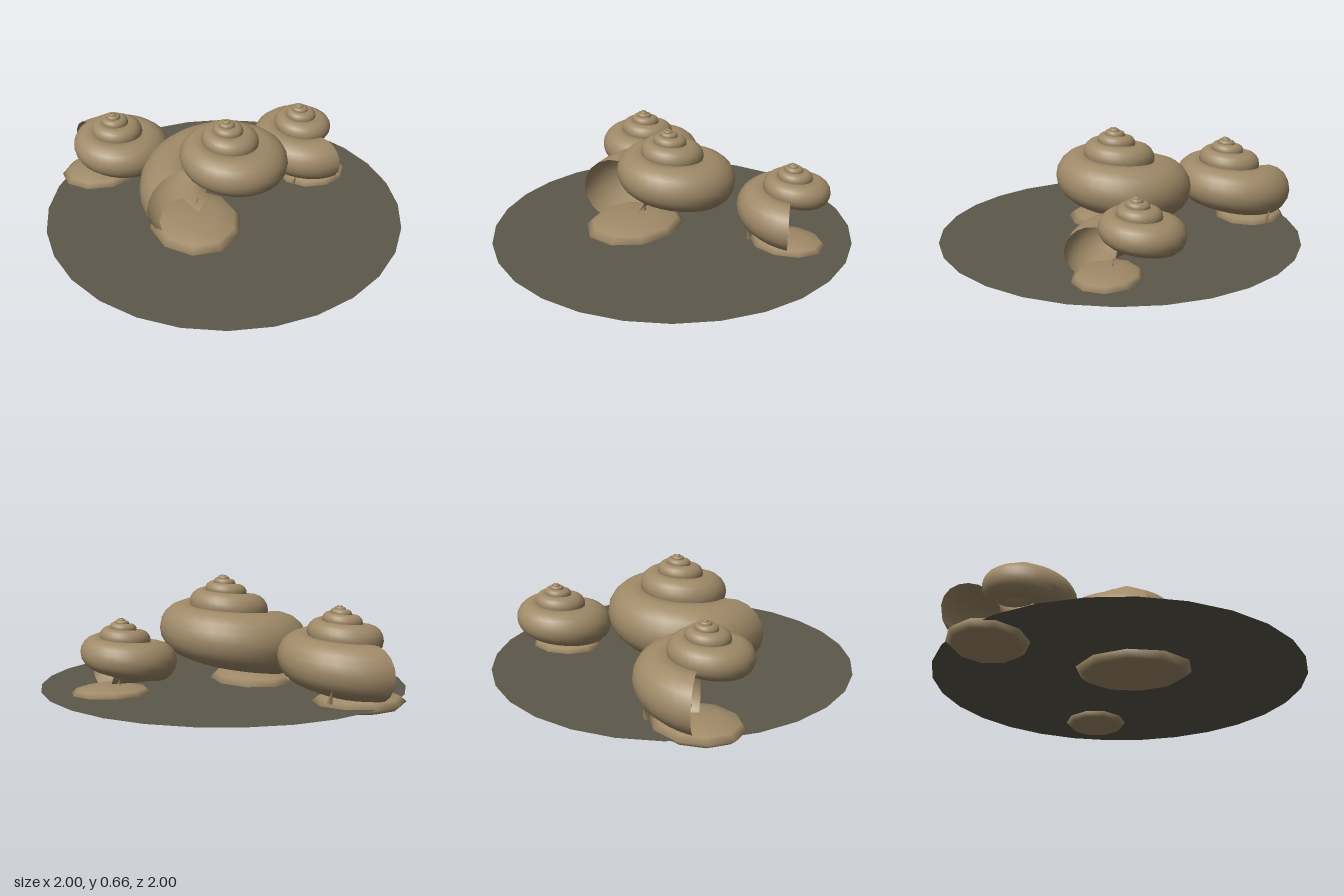
import * as THREE from 'three';
import { ParametricGeometry } from 'three/addons/geometries/ParametricGeometry.js';

const GROUND_Y = 0.07;
const TURNS = 5.5;
const GROWTH = 1.9; // size ratio from one whorl to the next
const LIP_ANGLE = THREE.MathUtils.degToRad(200);

// Logarithmic spiral tube, open at the lip, winding up to the apex
function shellGeometry() {
  return new ParametricGeometry((u, v, target) => {
    const back = (1 - u) * TURNS;
    const s = Math.pow(GROWTH, -back);
    const angle = LIP_ANGLE - back * Math.PI * 2;
    const around = v * Math.PI * 2;
    const radius = s * (0.315 + 0.185 * Math.cos(around));
    target.set(
      radius * Math.cos(angle),
      0.6 - 0.41 * s + 0.185 * s * Math.sin(around),
      -radius * Math.sin(angle)
    );
  }, 176, 18);
}

export function createModel() {
  const model = new THREE.Group();
  model.name = 'snailsOnDisc';

  const shellMat = new THREE.MeshStandardMaterial({ color: 0xa08a68, side: THREE.DoubleSide });
  shellMat.name = 'shell tan';
  const discMat = new THREE.MeshStandardMaterial({ color: 0x5c584a, side: THREE.DoubleSide });
  discMat.name = 'mud grey';

  // Flat ground disc
  const disc = new THREE.Mesh(new THREE.CircleGeometry(1, 28), discMat);
  disc.name = 'groundDisc';
  disc.rotation.set(-Math.PI / 2, 0, Math.PI / 2);
  disc.position.y = GROUND_Y + 0.002;
  model.add(disc);

  const shellGeo = shellGeometry();
  const footGeo = new THREE.SphereGeometry(1, 10, 6);
  const tentacleGeo = new THREE.ConeGeometry(0.018, 0.09, 5);

  function addSnail(name, x, z, scale, turnDegrees) {
    const snail = new THREE.Group();
    snail.name = name;

    const shell = new THREE.Mesh(shellGeo, shellMat);
    shell.name = 'shell';
    snail.add(shell);

    // Flattened foot under the shell mouth
    const foot = new THREE.Mesh(footGeo, shellMat);
    foot.name = 'foot';
    foot.scale.set(0.258, 0.067, 0.308);
    foot.position.set(-0.188, 0, 0.062);
    snail.add(foot);

    // Short tentacles tucked inside the mouth
    for (const [tx, tz, tilt] of [[-0.36, -0.2, 0.4], [-0.17, 0, -0.3]]) {
      const tentacle = new THREE.Mesh(tentacleGeo, shellMat);
      tentacle.name = 'tentacle';
      tentacle.position.set(tx, 0.08, tz);
      tentacle.rotation.z = tilt;
      snail.add(tentacle);
    }

    snail.position.set(x, GROUND_Y, z);
    snail.rotation.y = THREE.MathUtils.degToRad(turnDegrees);
    snail.scale.setScalar(scale);
    model.add(snail);
  }

  addSnail('largeSnail', 0, 0.04, 1, 0);
  addSnail('mediumSnail', -0.555, -0.41, 0.79, -80);
  addSnail('smallSnail', 0.55, -0.36, 0.69, 99);
  return model;
}
